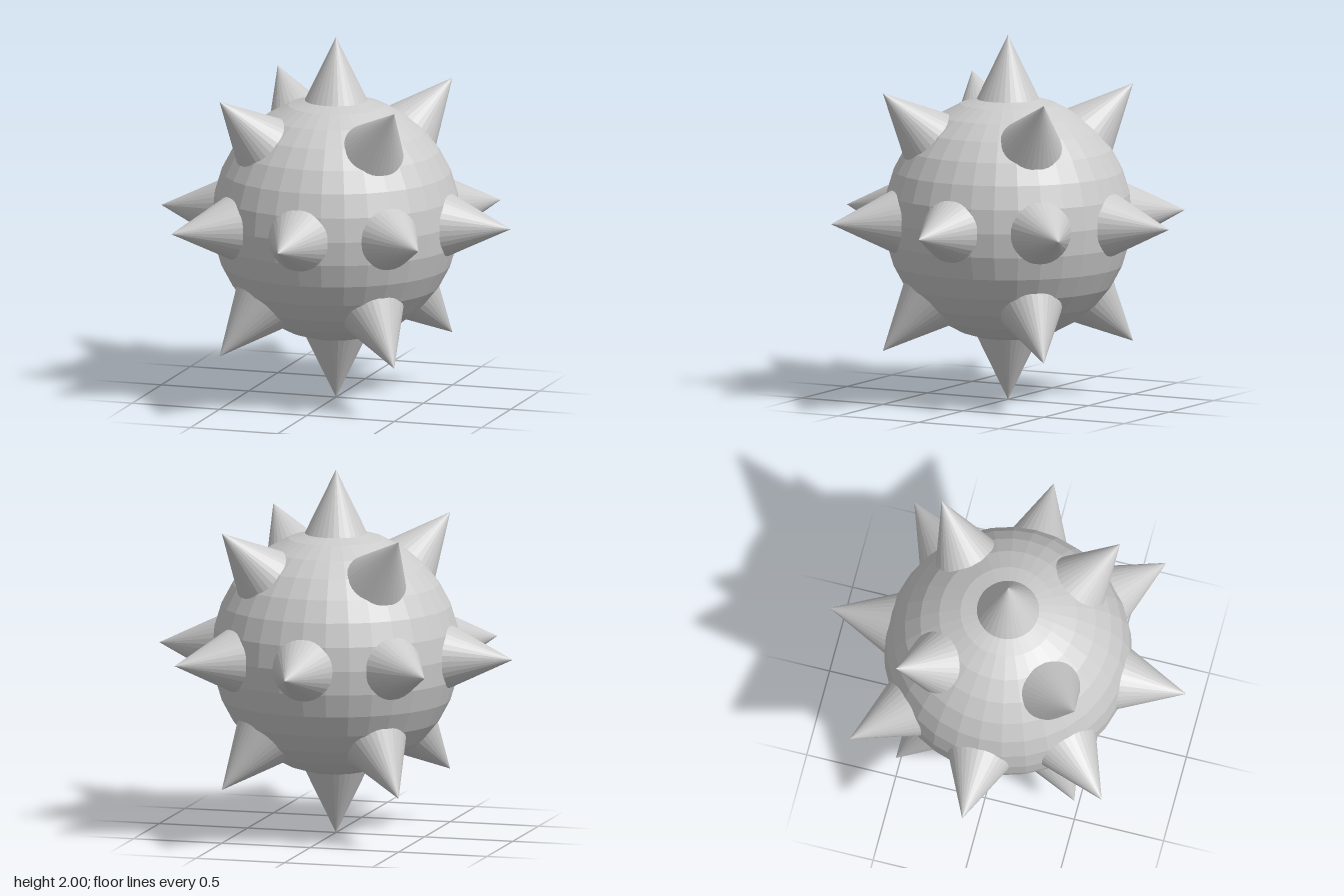
import * as THREE from 'three';

export function createModel() {
  const model = new THREE.Group();
  model.name = 'spikedBall';
  const material = new THREE.MeshStandardMaterial({ color: 0xcccccc, flatShading: true });

  // Faceted ball
  const ball = new THREE.Mesh(new THREE.SphereGeometry(0.675, 32, 16), material);
  ball.name = 'ball';
  ball.position.y = 1;
  model.add(ball);

  // Spike with its tip one unit from the ball centre and its base sunk into the ball
  const height = 0.45;
  const spikeGeometry = new THREE.ConeGeometry(0.218, height, 32);
  spikeGeometry.translate(0, 1 - height / 2, 0);

  function addSpike(name, elevation, azimuth) {
    const spike = new THREE.Mesh(spikeGeometry, material);
    spike.name = name;
    spike.position.y = 1;
    spike.rotation.set(Math.PI / 2 - elevation, azimuth, 0, 'YXZ');
    model.add(spike);
  }

  // Poles
  addSpike('topSpike', Math.PI / 2, 0);
  addSpike('bottomSpike', -Math.PI / 2, 0);

  // Eight around the equator, four in each slanted ring
  for (let i = 0; i < 8; i++) addSpike('equatorSpike', 0, (i * Math.PI) / 4);
  for (let i = 0; i < 4; i++) {
    const azimuth = Math.PI / 4 + (i * Math.PI) / 2;
    addSpike('upperSpike', Math.PI / 4, azimuth);
    addSpike('lowerSpike', -Math.PI / 4, azimuth);
  }
  return model;
}
